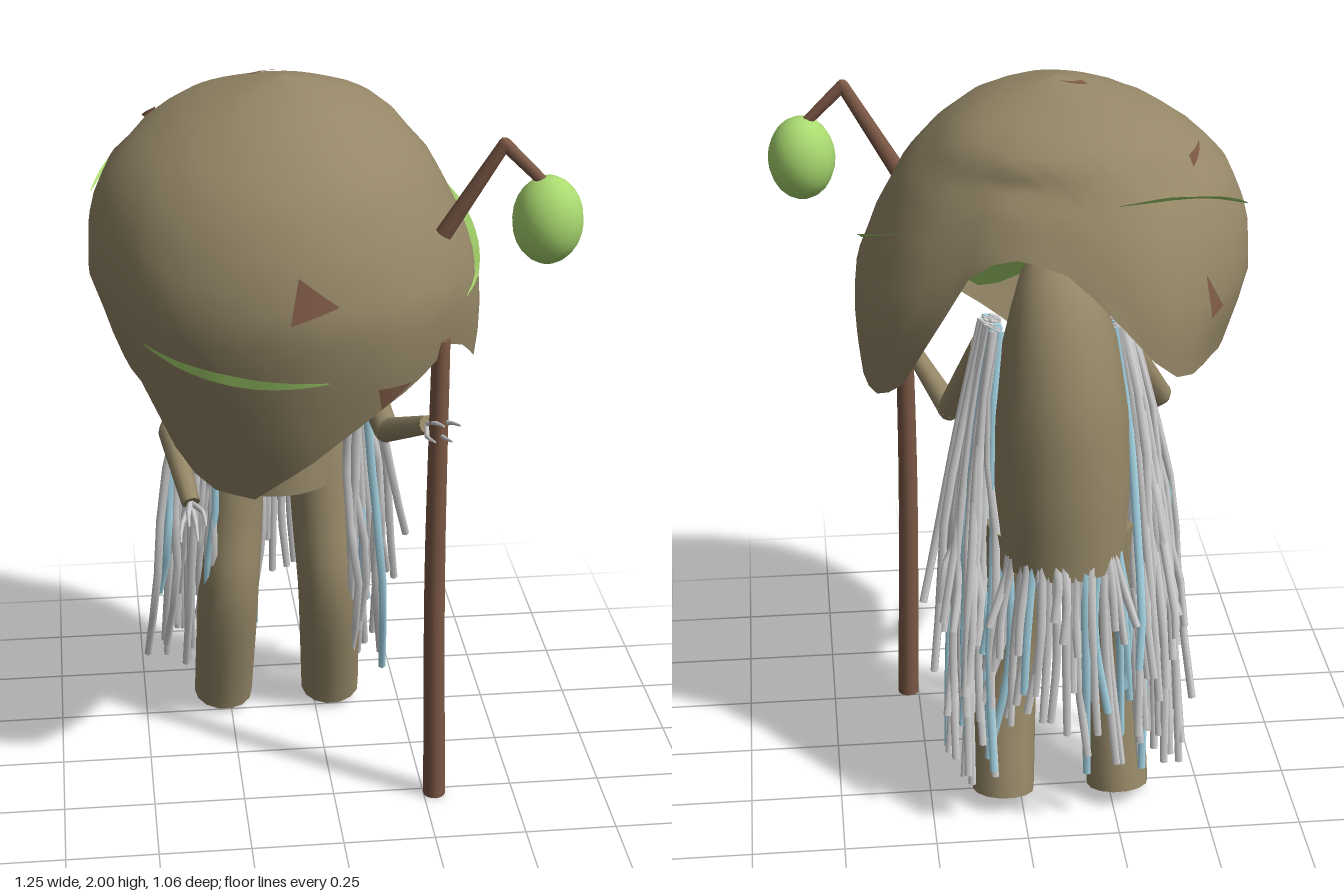
import * as THREE from 'three';
import { mergeGeometries } from 'three/addons/utils/BufferGeometryUtils.js';

const V = (x, y, z) => new THREE.Vector3(x, y, z);
const CX = -0.11; // axis of body and cap
const mat = (name, color, side = THREE.FrontSide) => {
  const m = new THREE.MeshStandardMaterial({ color, side });
  m.name = name;
  return m;
};
let seed = 7;
const rnd = () => (seed = (seed * 16807) % 2147483647) / 2147483647;

// piecewise-linear lookup in rows [key, a, b...]
function lookup(rows, k, col) {
  let i = 1;
  while (i < rows.length - 1 && rows[i][0] < k) i++;
  const [p, q] = [rows[i - 1], rows[i]];
  const f = THREE.MathUtils.clamp((k - p[0]) / (q[0] - p[0]), 0, 1);
  return p[col] + (q[col] - p[col]) * f;
}

// cap rim: angle from the front towards +x, height, radius
const RIM = [
  [-17, 0.97, 0.37], [4, 1.09, 0.42], [15, 1.16, 0.44], [28, 1.24, 0.47], [50, 1.32, 0.48],
  [60, 1.35, 0.49], [80, 1.24, 0.51], [100, 1.2, 0.51], [113, 1.21, 0.51], [125, 1.28, 0.51],
  [137, 1.45, 0.5], [150, 1.65, 0.47], [165, 1.68, 0.46], [180, 1.64, 0.48], [190, 1.55, 0.53],
  [200, 1.43, 0.56], [210, 1.35, 0.55], [228, 1.34, 0.49], [270, 1.31, 0.44], [300, 1.25, 0.44],
  [315, 1.08, 0.42], [325, 1.0, 0.4], [343, 0.97, 0.37],
];
// cap silhouette: height, radius
const PROFILE = [
  [0.97, 0.37], [1.15, 0.44], [1.35, 0.495], [1.5, 0.52], [1.65, 0.485], [1.78, 0.42],
  [1.86, 0.34], [1.93, 0.24], [1.97, 0.14], [1.99, 0.06], [2, 0],
];
// outer edge of the lining: angle, height
const LINING = [
  [-17, 1.3], [20, 1.23], [60, 1.4], [100, 1.62], [140, 1.64], [200, 1.72], [240, 1.58], [300, 1.4], [343, 1.3],
];
const wrap = (deg) => ((((deg + 17) % 360) + 360) % 360) - 17;
const rim = (deg, col) => lookup(RIM, wrap(deg), col);

// point on the cap skin at an angle and height, pushed out by lift
function capPoint(deg, y, lift = 0) {
  const ry = rim(deg, 1), s = Math.min(1, Math.pow(Math.max(0, 2 - y) / (2 - ry), 0.625));
  const a = THREE.MathUtils.degToRad(deg), mid = 4 * s * (1 - s);
  // the crown leans to the -x side and is fuller at the back
  const lean = 1 - 0.07 * Math.sin(a) * mid * mid + 0.012 * Math.sin(3 * a + 1) * mid
    + 0.2 * Math.max(0, -Math.cos(a)) * Math.sin(Math.PI * Math.min(1, (2 - y) / 0.17));
  const r = (lookup(PROFILE, y, 1) + (rim(deg, 2) - lookup(PROFILE, ry, 1)) * s ** 3) * lean + lift;
  return V(CX + r * Math.sin(a), y, r * Math.cos(a));
}

function surface(pos, idx) {
  const g = new THREE.BufferGeometry();
  g.setAttribute('position', new THREE.Float32BufferAttribute(pos, 3));
  g.setIndex(idx);
  g.computeVertexNormals();
  return g;
}

// closed ring surface from f(angle in degrees, t)
function ringSurface(f, cols, rows) {
  const pos = [], idx = [];
  for (let j = 0; j <= rows; j++)
    for (let i = 0; i < cols; i++) pos.push(...f((i / cols) * 360 - 17, j / rows).toArray());
  for (let j = 0; j < rows; j++)
    for (let i = 0; i < cols; i++) {
      const n = (i + 1) % cols, a = j * cols + i, b = a + cols, c = (j + 1) * cols + n, d = j * cols + n;
      idx.push(a, b, c, a, c, d);
    }
  return surface(pos, idx);
}

const leaf = (f) => Math.sin(Math.PI * (0.03 + f * 0.94));
const wedge = (f) => 1 - 0.97 * f;

// strip between two [angle, height] points of the cap: flat on it, or a fin standing out from it
function capStrip(from, to, half, shape, bend = 0, fin = false) {
  const n = 14, pos = [], idx = [];
  const at = (f) => [
    from[0] + (to[0] - from[0]) * f,
    from[1] + (to[1] - from[1]) * f + bend * Math.sin(Math.PI * f),
  ];
  for (let i = 0; i <= n; i++) {
    const f = i / n, [d, y] = at(f), p = capPoint(d, y);
    const normal = capPoint(d, y - 0.01).sub(p).cross(capPoint(d + 1, y).sub(p)).normalize();
    const ahead = capPoint(...at(f + 0.02)).sub(capPoint(...at(f - 0.02)));
    const side = fin ? normal.clone() : normal.clone().cross(ahead).normalize();
    side.multiplyScalar(half * shape(f));
    p.addScaledVector(normal, 0.009);
    pos.push(...p.clone().add(side).toArray(), ...p.clone().sub(side).toArray());
    if (i < n) idx.push(2 * i, 2 * i + 1, 2 * i + 3, 2 * i, 2 * i + 3, 2 * i + 2);
  }
  return surface(pos, idx);
}

// capped tube through points, with a radius at each of them
function limb(points, radii, sides = 12, segs = 12) {
  const curve = new THREE.CatmullRomCurve3(points);
  const g = new THREE.TubeGeometry(curve, segs, 1, sides);
  const rows = radii.map((r, i) => [i / (radii.length - 1), r]);
  const p = g.attributes.position, v = V(0, 0, 0);
  for (let i = 0; i < p.count; i++) {
    const u = Math.floor(i / (sides + 1)) / segs, c = curve.getPointAt(u);
    v.fromBufferAttribute(p, i).sub(c).multiplyScalar(lookup(rows, u, 1)).add(c);
    p.setXYZ(i, v.x, v.y, v.z);
  }
  const ends = [0, 1].map((u) => {
    const dir = curve.getTangentAt(u).multiplyScalar(u ? 1 : -1), c = curve.getPointAt(u);
    return new THREE.CircleGeometry(lookup(rows, u, 1), sides)
      .applyQuaternion(new THREE.Quaternion().setFromUnitVectors(V(0, 0, 1), dir))
      .translate(c.x, c.y, c.z);
  });
  return mergeGeometries([g, ...ends]);
}

export function createModel() {
  const model = new THREE.Group();
  const skin = mat('dull brown', 0x958767, THREE.DoubleSide);
  const green = mat('fresh green', 0xaada70, THREE.DoubleSide);
  const wood = mat('red brown wood', 0x7d5946, THREE.DoubleSide);
  const grey = mat('pale grey', 0xd2d2d2);
  const blue = mat('pale blue', 0xa6d6e6);
  const add = (name, geo, material) => {
    const m = new THREE.Mesh(geo, material);
    m.name = name;
    model.add(m);
  };

  // mushroom cap, and the green lining set back from its rim
  add('cap', ringSurface((d, t) => capPoint(d, 2 - (2 - rim(d, 1)) * Math.pow(t, 1.6)), 48, 16), skin);
  add('capLining', ringSurface((d, t) => {
    const edge = Math.max(rim(d, 1) + 0.05, lookup(LINING, wrap(d), 1));
    const p = capPoint(d, edge, -0.01).lerp(V(CX, 1.42, -0.05), t);
    p.y += 0.14 * Math.sin(Math.PI * t);
    return p;
  }, 48, 14), green);

  // green veins and rusty patches on the cap
  [
    [[-47, 1.42], [8, 1.35], 0.015, leaf, -0.025],
    [[258, 1.67], [196, 1.79], 0.013, leaf, 0.04, true],
    [[62, 1.47], [119, 1.67], 0.011, leaf, 0.01, true],
  ].forEach((v) => add('capVein', capStrip(...v), green));
  [
    [[-2, 1.57], [10, 1.55], 0.06], [[25, 1.275], [36, 1.3], 0.035], [[234, 1.84], [248, 1.86], 0.018],
    [[223, 1.5], [220, 1.6], 0.03], [[241, 1.985], [194, 1.993], 0.012],
  ].forEach((v) => add('capPatch', capStrip(...v, wedge), wood));

  // hunched stem body
  add('body', limb(
    [V(CX, 0.76, -0.27), V(CX, 1, -0.27), V(CX, 1.22, -0.24), V(CX, 1.4, -0.15), V(CX, 1.46, -0.03)],
    [0.17, 0.18, 0.175, 0.15, 0.09], 20, 16), skin);

  for (const s of [-1, 1]) {
    const right = s > 0;
    // bent leg
    add('leg', limb(
      [V(CX + s * 0.115, 0.85, -0.26), V(CX + s * 0.13, 0.62, -0.235), V(CX + s * 0.145, 0.42, -0.215), V(CX + s * 0.16, 0.035, -0.305)],
      [0.085, 0.087, 0.088, 0.085], 14), skin);
    // arm: upper arm and forearm
    const shoulder = V(CX + s * 0.18, 1.27, -0.05);
    const elbow = right ? V(0.16, 1.03, 0.08) : V(-0.42, 1.05, 0.08);
    const wrist = right ? V(0.245, 1.12, 0.26) : V(-0.38, 0.92, 0.25);
    add('upperArm', limb([shoulder, elbow], [0.045, 0.034], 10, 2), skin);
    add('elbow', new THREE.SphereGeometry(0.034, 10, 8).translate(...elbow.toArray()), skin);
    add('forearm', limb([elbow, wrist], [0.034, 0.025], 10, 2), skin);
    // thin fingers
    const reach = right ? V(0.04, 0.01, 0.09) : V(0, -0.04, 0.11);
    for (let i = 0; i < 4; i++) {
      const spread = V((i - 1.5) * 0.022, (i % 2 ? 0.022 : -0.022), 0);
      const tip = wrist.clone().add(reach).add(spread);
      const mid = wrist.clone().lerp(tip, 0.5).add(spread.multiplyScalar(0.35));
      add('finger', limb([wrist, mid, tip], [0.009, 0.007, 0.003], 5, 4), grey);
    }
  }

  // hanging hair: side curtains from the neck, fringe from the back hem
  const strands = { grey: [], blue: [] };
  const strand = (pts) => {
    const geo = limb(pts, [0.0125, 0.0125, 0.011], 5, 7);
    (rnd() < 0.15 ? strands.blue : strands.grey).push(geo);
  };
  const jit = (k) => (rnd() - 0.5) * k;
  for (const s of [-1, 1])
    for (let i = 0; i < 44; i++) {
      const a = rnd(), w = rnd() * (1 - 0.5 * a), y = 0.13 + 0.5 * Math.pow(rnd(), 1.3);
      const front = -0.1 - 0.24 * (0.65 - y);
      strand([
        V(CX + s * (0.15 + 0.05 * w), 1.36, -0.04 - 0.12 * a),
        V(CX + s * (0.185 + 0.08 * w) + jit(0.02), 1.08 + jit(0.1), -0.07 - 0.16 * a + jit(0.02)),
        V(CX + s * (0.185 + 0.15 * w) + jit(0.03), 0.8 + jit(0.1), -0.09 - 0.24 * a + jit(0.03)),
        V(CX + s * (0.19 + 0.18 * w) + jit(0.03), (0.8 + y) / 2, -0.1 - 0.29 * a + jit(0.03)),
        V(CX + s * (0.19 + 0.21 * w), y, front + (-0.45 - front) * a),
      ]);
    }
  for (let i = 0; i < 40; i++) {
    const a = Math.PI * (0.5 + (i + rnd()) / 40), sx = Math.sin(a), cz = Math.cos(a);
    const y = 0.17 + 0.5 * Math.pow(rnd(), 1.2), o = 0.18 + 0.06 * rnd();
    strand([
      V(CX + 0.155 * sx, 0.82, -0.27 + 0.155 * cz),
      V(CX + 0.175 * sx + jit(0.04), (0.8 + y) / 2 + jit(0.06), -0.29 + 0.16 * cz + jit(0.03)),
      V(CX + o * sx, y, -0.3 + o * 0.88 * cz),
    ]);
  }
  add('greyHair', mergeGeometries(strands.grey), grey);
  add('blueHair', mergeGeometries(strands.blue), blue);

  // staff reaching up under the cap; its crook grows out above with a hanging fruit
  const crook = [V(0.275, 1.65, 0.272), V(0.42, 1.89, 0.3), V(0.53, 1.78, 0.305)];
  add('staff', limb([V(0.28, 0, 0.275), V(0.268, 0.7, 0.285), V(0.272, 1.37, 0.288)], [0.031, 0.028, 0.024], 10, 12), wood);
  add('crookRise', limb([crook[0], crook[1]], [0.023, 0.017], 8, 2), wood);
  add('crookTip', limb([crook[1], crook[2]], [0.017, 0.014], 8, 2), wood);
  add('crookBend', new THREE.SphereGeometry(0.017, 8, 6).translate(...crook[1].toArray()), wood);
  add('fruit', new THREE.SphereGeometry(0.091, 18, 12).scale(1, 1.26, 1).translate(0.535, 1.69, 0.305), green);
  return model;
}
